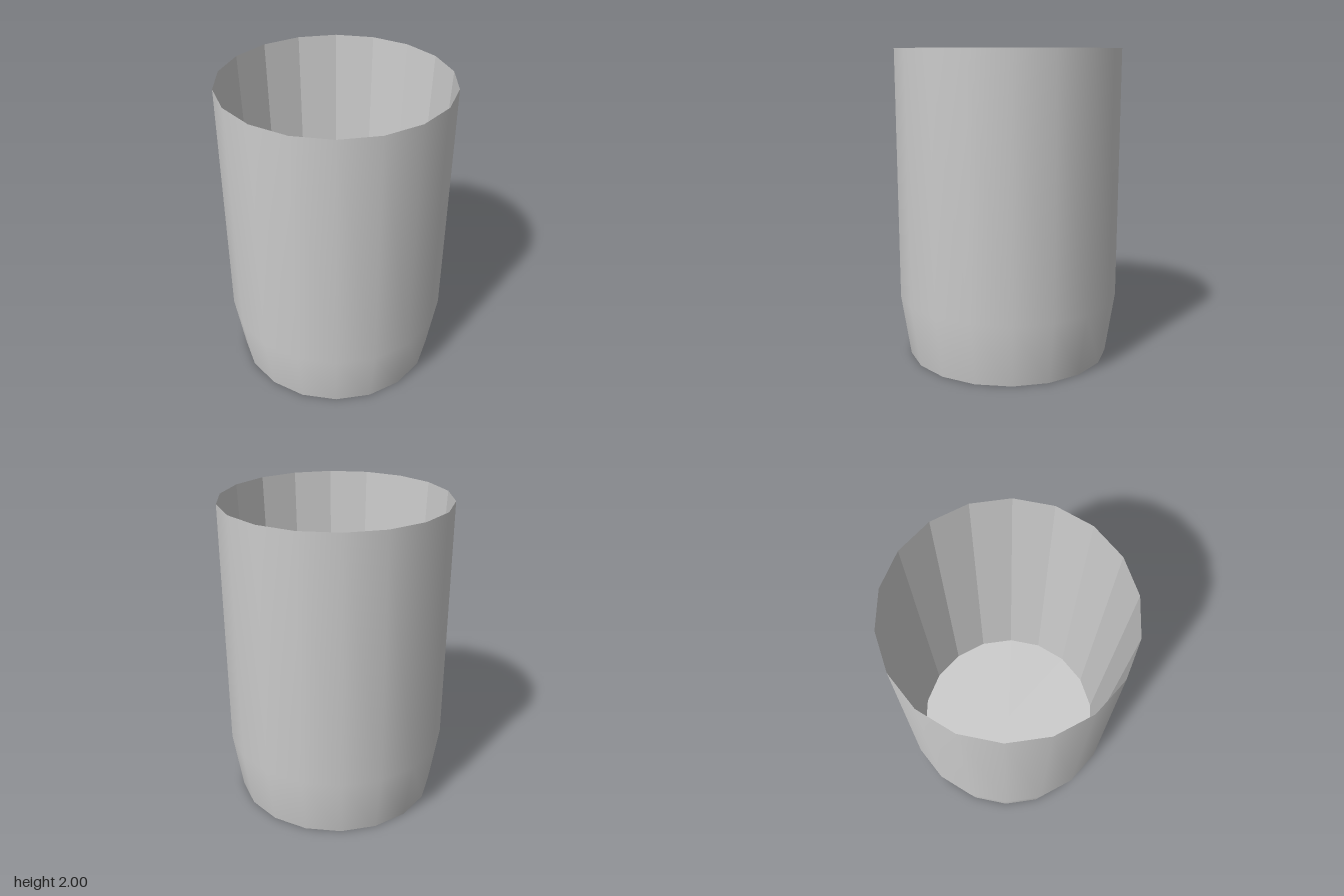
import * as THREE from 'three';

const SIDES = 18;
const START = Math.PI / 2; // a corner lies on the x axis
const FLOOR = 0.1;

export function createModel() {
  const group = new THREE.Group();
  group.name = 'cup';
  const smooth = new THREE.MeshStandardMaterial({ color: 0xcccccc });
  const flat = new THREE.MeshStandardMaterial({ color: 0xcccccc, flatShading: true });

  const add = (name, geometry, material) => {
    const mesh = new THREE.Mesh(geometry, material);
    mesh.name = name;
    group.add(mesh);
    return mesh;
  };
  const revolve = (profile) => new THREE.LatheGeometry(
    profile.map(([r, y]) => new THREE.Vector2(r, y)), SIDES, START);
  const disc = (radius, y, facing) => new THREE.CircleGeometry(radius, SIDES)
    .rotateX(-facing * Math.PI / 2).translate(0, y, 0);

  // Outer wall: straight body over a tapered foot
  add('outerWall', revolve([[0.66, 0], [0.72, 0.4], [0.72, 2]]), smooth);

  // Faceted inner wall, narrowing from the sharp rim to the floor
  add('innerWall', revolve([[0.72, 2], [0.645, FLOOR]]), flat);

  // Inner floor and underside
  add('innerFloor', disc(0.645, FLOOR, 1), flat);
  add('base', disc(0.66, 0, -1), flat);

  return group;
}
